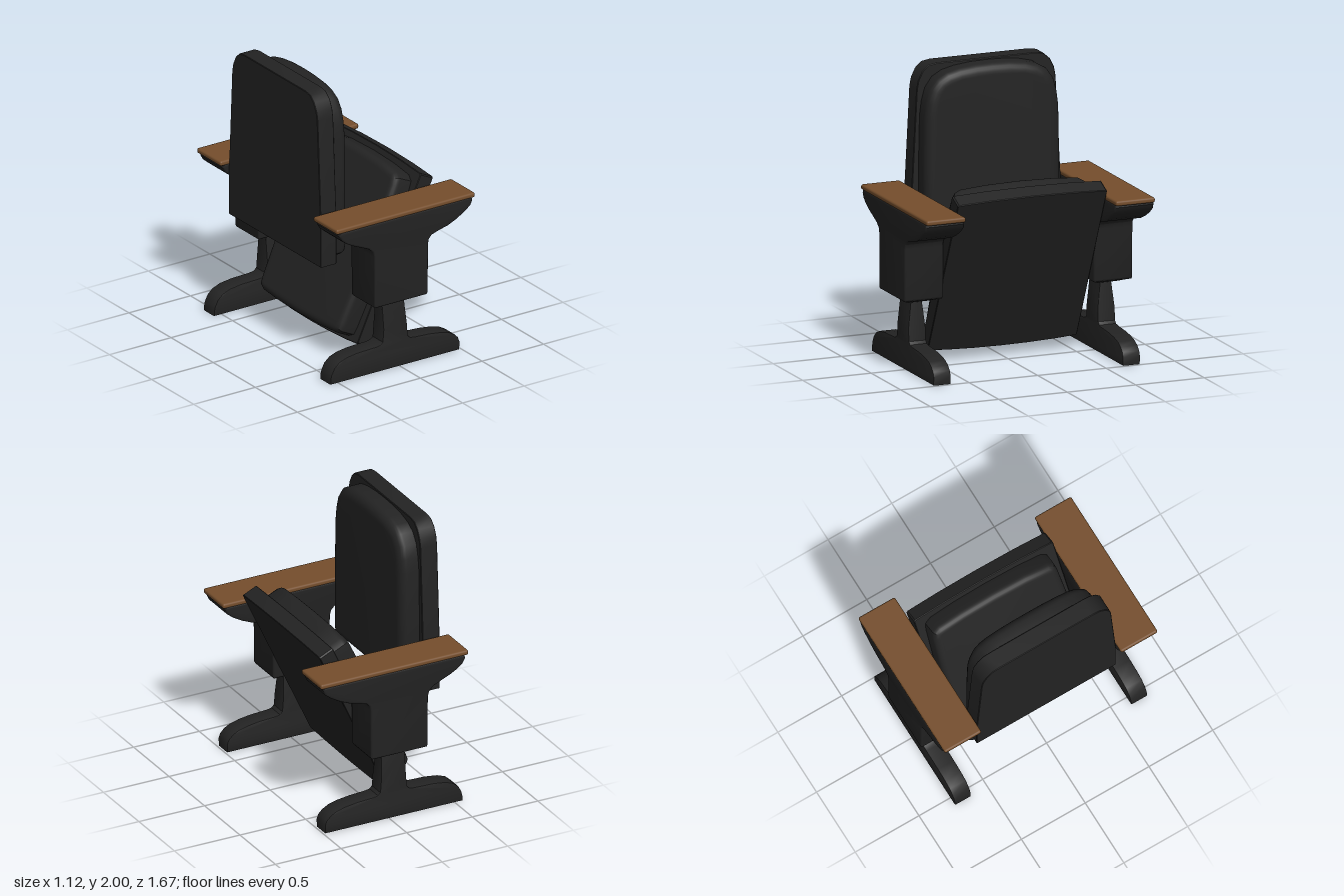
import * as THREE from 'three';
import { toCreasedNormals } from 'three/addons/utils/BufferGeometryUtils.js';
import { RoundedBoxGeometry } from 'three/addons/geometries/RoundedBoxGeometry.js';

const black = new THREE.MeshStandardMaterial({ color: 0x232323 });
black.name = 'black';
const wood = new THREE.MeshStandardMaterial({ color: 0x754e2c });
wood.name = 'wood';

const shapeOf = (pts) => new THREE.Shape(pts.map(([x, y]) => new THREE.Vector2(x, y)));
// Full outline from its right half, listed from bottom to top
const mirrored = (half) => shapeOf([...half, ...half.slice().reverse().filter(([x]) => x > 0).map(([x, y]) => [-x, y])]);

// Extrusion that fills the outline exactly, from depth a to b, with rounded rims
function slab(shape, a, b, size, thick, segments = 4) {
  const geo = new THREE.ExtrudeGeometry(shape, {
    depth: b - a - 2 * thick, curveSegments: 8, bevelEnabled: true,
    bevelSize: size, bevelOffset: -size, bevelThickness: thick, bevelSegments: segments,
  });
  return geo.translate(0, 0, a + thick);
}

function mesh(name, geo, mat) {
  const m = new THREE.Mesh(geo, mat);
  m.name = name;
  return m;
}
const smooth = (geo, angle = 0.6) => toCreasedNormals(geo, angle);

// Backrest: outline in the z-y plane, thickness along x
function backrest() {
  const g = new THREE.Group();
  g.name = 'backrest';
  const shell = mirrored([[0.545, 0.77], [0.545, 1.1], [0.507, 1.83], [0.495, 1.89], [0.465, 1.95], [0.42, 1.99], [0.36, 2]]);
  const pad = mirrored([[0.46, 0.79], [0.485, 0.81], [0.495, 0.85], [0.495, 1.3], [0.488, 1.65], [0.475, 1.75], [0.45, 1.84],
    [0.4, 1.91], [0.33, 1.95], [0.24, 1.972], [0.12, 1.985], [0, 1.988]]);
  g.add(mesh('backrestShell', smooth(slab(shell, -0.5, -0.37, 0.004, 0.004, 1).rotateY(Math.PI / 2)), black));
  g.add(mesh('backrestCushion', smooth(slab(pad, -0.46, -0.235, 0.07, 0.06, 6).rotateY(Math.PI / 2)), black));
  return g;
}

// Seat: same construction, tipped up about the z axis
function seat() {
  const g = new THREE.Group();
  g.name = 'seat';
  const shell = mirrored([[0, 0.016], [0.2, 0.019], [0.4, 0.028], [0.535, 0.04], [0.545, 0.05], [0.545, 1.265], [0.535, 1.273],
    [0.3, 1.285], [0, 1.29]]);
  const pad = mirrored([[0, 0.045], [0.25, 0.05], [0.43, 0.062], [0.475, 0.085], [0.485, 0.14], [0.5, 0.5], [0.5, 0.8],
    [0.485, 1.14], [0.475, 1.195], [0.43, 1.225], [0.25, 1.243], [0, 1.25]]);
  g.add(mesh('seatShell', smooth(slab(shell, -0.242, -0.13, 0.004, 0.004, 1).rotateY(Math.PI / 2)), black));
  g.add(mesh('seatCushion', smooth(slab(pad, -0.385, -0.16, 0.05, 0.05, 6).rotateY(Math.PI / 2)), black));
  g.rotation.z = -0.434;
  return g;
}

// Side support: foot with column, arm box, flared arm and wooden top
function support(side) {
  const g = new THREE.Group();
  g.name = side > 0 ? 'frontZSupport' : 'backZSupport';

  const foot = shapeOf([[-0.56, 0.004], [0.485, 0.004], [0.488, 0.06], [0.475, 0.095], [0.445, 0.125], [0.4, 0.15], [0.33, 0.168],
    [0.24, 0.18], [0.12, 0.187], [0.085, 0.193], [0.067, 0.212], [0.06, 0.3], [0.048, 0.5],
    [-0.13, 0.5], [-0.13, 0.3], [-0.137, 0.212], [-0.155, 0.195], [-0.19, 0.189], [-0.34, 0.184], [-0.43, 0.172],
    [-0.49, 0.15], [-0.53, 0.115], [-0.553, 0.07], [-0.56, 0.04]]);
  const footGeo = slab(foot, -0.063, 0.063, 0.006, 0.006, 2);
  // The column narrows towards its top
  const p = footGeo.attributes.position;
  for (let i = 0; i < p.count; i++) if (p.getY(i) > 0.4) p.setZ(i, p.getZ(i) * 0.62);
  g.add(mesh('footAndColumn', smooth(footGeo), black));

  const arm = shapeOf([[-0.255, 0.53], [-0.248, 0.515], [0.168, 0.515], [0.178, 0.53], [0.18, 0.88], [0.187, 0.915], [0.21, 0.94],
    [0.27, 0.958], [0.34, 0.975], [0.41, 1.005], [0.48, 1.045], [0.525, 1.08], [0.54, 1.115], [0.535, 1.135],
    [-0.535, 1.135], [-0.54, 1.11], [-0.52, 1.075], [-0.485, 1.045], [-0.43, 1.015], [-0.36, 0.985], [-0.3, 0.958],
    [-0.268, 0.93], [-0.256, 0.89]]);
  g.add(mesh('armBox', smooth(slab(arm, -0.142, 0.142, 0.012, 0.012, 3)), black));

  // Tapered underside of the arm box
  const taper = new THREE.CylinderGeometry(Math.SQRT1_2, Math.SQRT1_2 * 0.5, 1, 4).toNonIndexed();
  taper.rotateY(Math.PI / 4).scale(0.42, 0.036, 0.27).translate(-0.038, 0.5, 0);
  taper.computeVertexNormals();
  g.add(mesh('armBoxUnderside', taper, black));

  const top = mesh('armrest', new RoundedBoxGeometry(1.125, 0.036, 0.286, 3, 0.014), wood);
  top.position.set(-0.002, 1.147, 0);
  g.add(top);
  g.position.z = side * 0.691;
  return g;
}

export function createModel() {
  const model = new THREE.Group();
  model.name = 'foldingSeat';
  model.add(backrest(), seat(), support(1), support(-1));
  return model;
}
